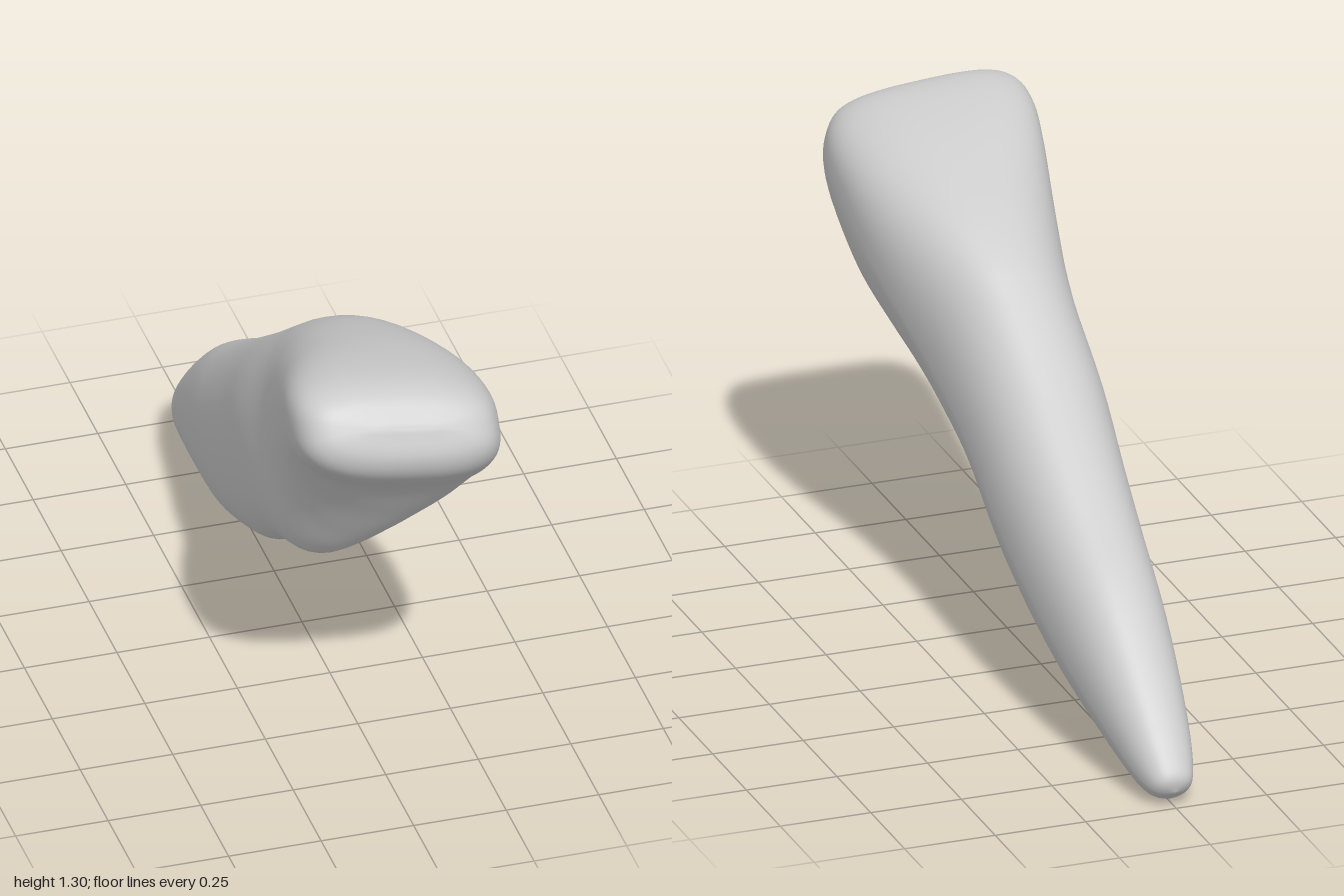
import * as THREE from 'three';
import { mergeVertices } from 'three/addons/utils/BufferGeometryUtils.js';

// Cross-sections along the tooth's long axis, root tip to biting edge:
// [distance, upper edge, lower edge, -x edge, +x edge, lower ridge shift]
const SECTIONS = [
  [-1.146, 0.05, 0.05, 0, 0, 0],
  [-1.13, 0.088, 0.005, -0.046, 0.046, 0],
  [-1.08, 0.113, -0.04, -0.07, 0.072, 0],
  [-0.98, 0.147, -0.085, -0.092, 0.096, -0.01],
  [-0.8, 0.192, -0.15, -0.118, 0.126, -0.03],
  [-0.6, 0.227, -0.217, -0.14, 0.15, -0.045],
  [-0.39, 0.236, -0.255, -0.157, 0.165, -0.05],
  [-0.17, 0.252, -0.274, -0.173, 0.176, -0.06],
  [0.07, 0.272, -0.267, -0.19, 0.18, -0.07],
  [0.29, 0.297, -0.297, -0.192, 0.197, -0.08],
  [0.41, 0.308, -0.293, -0.199, 0.217, -0.06],
  [0.55, 0.303, -0.256, -0.217, 0.246, -0.01],
  [0.7, 0.28, -0.2, -0.239, 0.268, 0.04],
  [0.85, 0.246, -0.142, -0.262, 0.277, 0.05],
  [0.98, 0.203, -0.12, -0.28, 0.272, 0.02],
  [1.075, 0.158, -0.1, -0.272, 0.247, 0],
  [1.128, 0.11, -0.055, -0.225, 0.2, 0],
  [1.146, 0.05, 0.01, -0.12, 0.11, 0],
  [1.148, 0.03, 0.03, 0, 0, 0],
];
const STEPS = 5, SIDES = 64;
const { clamp, lerp, smoothstep } = THREE.MathUtils;

// Smooth interpolation through the section table
function sectionAt(u) {
  const last = SECTIONS.length - 1;
  const i = Math.min(Math.floor(u), last - 1), f = u - i;
  const row = (k) => SECTIONS[clamp(k, 0, last)];
  return row(i).map((b, c) => {
    const a = row(i - 1)[c], d = row(i + 1)[c], e = row(i + 2)[c];
    return 0.5 * (2 * b + (d - a) * f + (2 * a - 5 * b + 4 * d - e) * f * f
      + (3 * b - a - 3 * d + e) * f * f * f);
  });
}

const power = (v, e) => Math.sign(v) * Math.pow(Math.abs(v), e);

function toothGeometry() {
  const axis = new THREE.Vector3(0, 0.518, 0.855);
  const normal = new THREE.Vector3(0, 0.855, -0.518);
  const positions = [], index = [];
  const rings = (SECTIONS.length - 1) * STEPS;
  for (let i = 0; i <= rings; i++) {
    const [s, up, lo, left, right, shift] = sectionAt(i / STEPS);
    // The crown grows boxier and its biting edge twists slightly
    const crown = smoothstep(s, 0.4, 1.05);
    const tilt = -0.13 * crown;
    const upSquare = lerp(0.85, 0.7, crown), loSquare = lerp(1.08, 0.7, crown);
    for (let j = 0; j < SIDES; j++) {
      const a = (j / SIDES) * Math.PI * 2;
      const sn = Math.sin(a), e = sn > 0 ? upSquare : loSquare;
      const x = (left + right) / 2 + (right - left) / 2 * power(Math.cos(a), e)
        + shift * Math.max(0, -sn) ** 2;
      const t = (up + lo) / 2 + (up - lo) / 2 * power(sn, e) + tilt * x;
      const p = new THREE.Vector3(x, 0.6, 0).addScaledVector(axis, s).addScaledVector(normal, t);
      positions.push(p.x, p.y, p.z);
      if (i === rings) continue;
      const k = (j + 1) % SIDES, r = i * SIDES, n = r + SIDES;
      if (i > 0) index.push(r + j, r + k, n + k);
      if (i < rings - 1) index.push(r + j, n + k, n + j);
    }
  }
  const raw = new THREE.BufferGeometry();
  raw.setAttribute('position', new THREE.Float32BufferAttribute(positions, 3));
  raw.setIndex(index);
  const geometry = mergeVertices(raw, 1e-5);
  geometry.computeVertexNormals();

  // Stand on the ground, centred
  geometry.computeBoundingBox();
  const box = geometry.boundingBox, c = box.getCenter(new THREE.Vector3());
  return geometry.translate(-c.x, -box.min.y, -c.z);
}

export function createModel() {
  const group = new THREE.Group();
  group.name = 'incisorTooth';
  const enamel = new THREE.MeshStandardMaterial({ color: 0xcccccc });
  enamel.name = 'light grey enamel';
  const tooth = new THREE.Mesh(toothGeometry(), enamel);
  tooth.name = 'tooth';
  group.add(tooth);
  return group;
}
